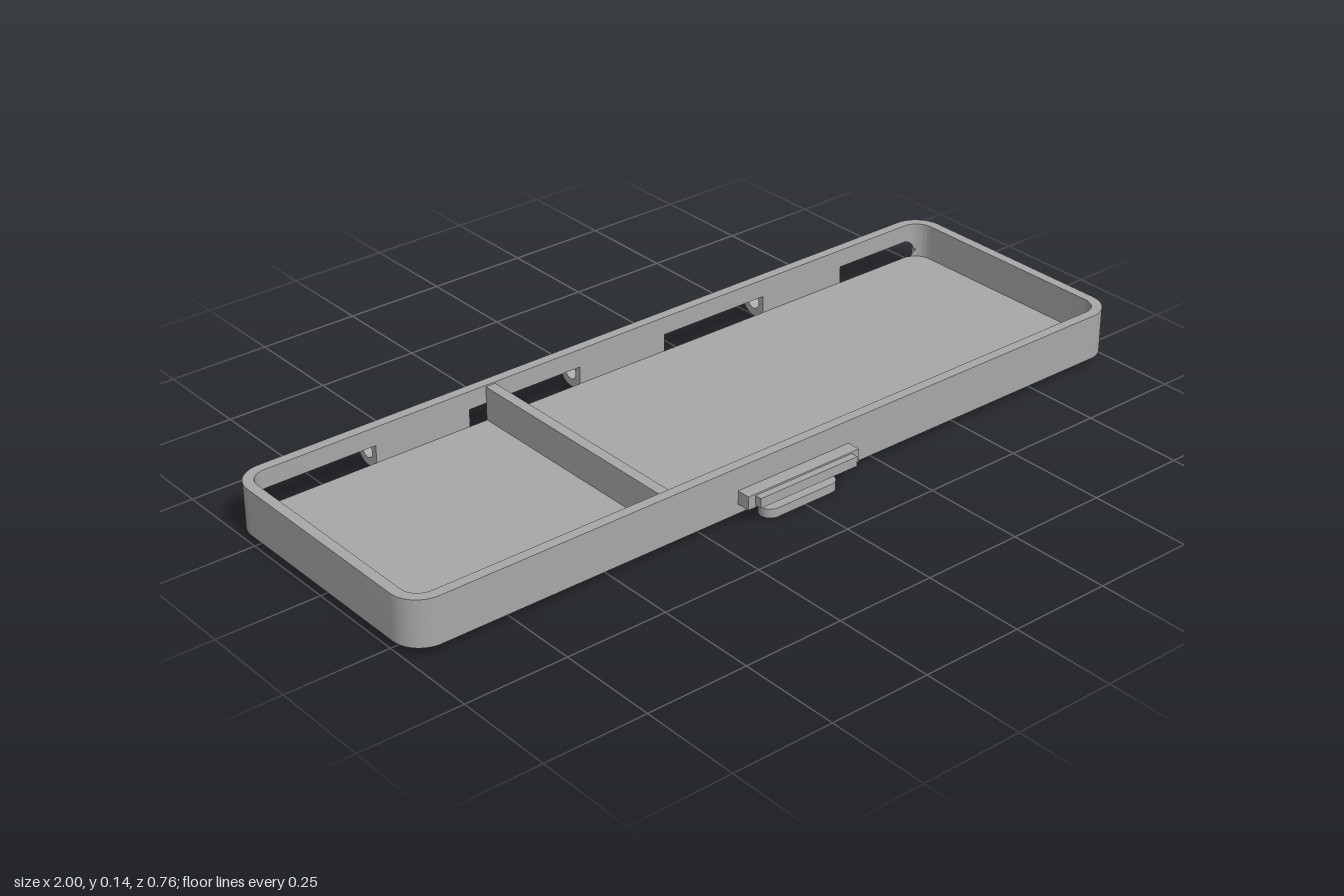
import * as THREE from 'three';
import { toCreasedNormals } from 'three/addons/utils/BufferGeometryUtils.js';

const BOTTOM = 0.022, TOP = 0.135, FLOOR = 0.047;
const CX = 0.93, CZ = 0.26, R_OUT = 0.07, R_IN = 0.045; // corner centres and radii
const PIN_Y = 0.065, PIN_Z = -0.34, GROOVE_R = 0.043;   // hinge axis and clearance
const CUT_X = 0.97;                                     // groove ends here
const KNUCKLES = [[-0.65, -0.4], [-0.09, 0.16], [0.465, 0.715]];

export function createModel() {
  const group = new THREE.Group();
  const plastic = new THREE.MeshStandardMaterial({ color: 0xa8a8a8 });
  plastic.name = 'grey plastic';

  const add = (name, geometry) => {
    const mesh = new THREE.Mesh(toCreasedNormals(geometry, 0.6), plastic);
    mesh.name = name;
    group.add(mesh);
    return mesh;
  };
  const box = (name, x0, x1, y0, y1, z0, z1) => {
    const g = new THREE.BoxGeometry(x1 - x0, y1 - y0, z1 - z0);
    add(name, g.translate((x0 + x1) / 2, (y0 + y1) / 2, (z0 + z1) / 2));
  };
  // Plan shape (x, -z) raised from y0 to y1
  const raise = (name, shape, y0, y1) => {
    const g = new THREE.ExtrudeGeometry(shape, { depth: y1 - y0, bevelEnabled: false, curveSegments: 12 });
    add(name, g.rotateX(-Math.PI / 2).translate(0, y0, 0));
  };
  // Round-ended bar lying along x
  const bar = (name, x0, x1, y0, y1, z, r) => {
    const s = new THREE.Shape();
    s.absarc(x1 - r, -z, r, -Math.PI / 2, Math.PI / 2, false);
    s.absarc(x0 + r, -z, r, Math.PI / 2, Math.PI * 1.5, false);
    s.closePath();
    raise(name, s, y0, y1);
  };

  // Front and side walls, ending in the rear corners
  const PI = Math.PI;
  const a = Math.acos((CUT_X - CX) / R_OUT), b = Math.acos((CUT_X - CX) / R_IN);
  const wall = new THREE.Shape();
  wall.absarc(CX, CZ, R_OUT, a, 0, true);
  wall.absarc(CX, -CZ, R_OUT, 0, -PI / 2, true);
  wall.absarc(-CX, -CZ, R_OUT, -PI / 2, -PI, true);
  wall.absarc(-CX, CZ, R_OUT, PI, PI - a, true);
  wall.absarc(-CX, CZ, R_IN, PI - b, PI, false);
  wall.absarc(-CX, -CZ, R_IN, PI, PI * 1.5, false);
  wall.absarc(CX, -CZ, R_IN, PI * 1.5, PI * 2, false);
  wall.absarc(CX, CZ, R_IN, 0, b, false);
  wall.closePath();
  raise('trayWalls', wall, BOTTOM, TOP);

  // Floor
  const floor = new THREE.Shape();
  floor.absarc(CX, CZ, R_IN, 0, PI / 2, false);
  floor.absarc(-CX, CZ, R_IN, PI / 2, PI, false);
  floor.absarc(-CX, -CZ, R_IN, PI, PI * 1.5, false);
  floor.absarc(CX, -CZ, R_IN, PI * 1.5, PI * 2, false);
  floor.closePath();
  raise('trayFloor', floor, BOTTOM, FLOOR);

  // Grooved rear wall: strips above and below the hinge clearance, lofted along x
  const wallZ = (x, r) => {
    const d = Math.max(0, Math.abs(x) - CX);
    return -CZ - Math.sqrt(Math.max(0, r * r - d * d));
  };
  const section = (x, side) => {
    const zo = wallZ(x, R_OUT), zi = wallZ(x, R_IN), edge = side > 0 ? TOP : BOTTOM;
    const points = [[x, edge, zo], [x, edge, zi]];
    for (let i = 0; i <= 10; i++) {
      const z = zi + (zo - zi) * i / 10;
      const h = Math.sqrt(Math.max(0, GROOVE_R ** 2 - (z - PIN_Z) ** 2));
      points.push([x, PIN_Y + side * h, z]);
    }
    return points;
  };
  const strip = (name, x0, x1, side) => {
    const xs = [x0];
    for (let i = 0; i <= 8; i++) {
      const d = CX + (CUT_X - CX) * i / 8;
      xs.push(d, -d);
    }
    const stations = [...new Set([...xs.filter(x => x >= x0 && x <= x1), x1])].sort((p, q) => p - q);
    const pos = [];
    for (let s = 0; s < stations.length - 1; s++) {
      const p = section(stations[s], side), q = section(stations[s + 1], side);
      p.forEach((v, i) => {
        const j = (i + 1) % p.length;
        const quad = side > 0 ? [v, p[j], q[j], q[i]] : [v, q[i], q[j], p[j]];
        for (const k of [0, 1, 2, 0, 2, 3]) pos.push(...quad[k]);
      });
    }
    const g = new THREE.BufferGeometry();
    g.setAttribute('position', new THREE.Float32BufferAttribute(pos, 3));
    add(name, g);
  };
  const edges = [-CUT_X, ...KNUCKLES.flat(), CUT_X];
  for (let i = 0; i < edges.length; i += 2) {
    strip('rearWallUpper', edges[i], edges[i + 1], 1);
    strip('rearWallLower', edges[i], edges[i + 1], -1);
  }

  // Hinge knuckles, each in one piece with its stretch of rear wall
  const zOut = CZ + R_OUT, zIn = CZ + R_IN, ringR = 0.038;
  const sweep = Math.acos((zOut + PIN_Z) / ringR);
  const knuckle = new THREE.Shape();
  knuckle.moveTo(zIn, BOTTOM);
  knuckle.lineTo(zOut, BOTTOM);
  knuckle.absarc(-PIN_Z, PIN_Y, ringR, -sweep, sweep, false);
  knuckle.lineTo(zOut, TOP);
  knuckle.lineTo(zIn, TOP);
  knuckle.closePath();
  const pinHole = new THREE.Path();
  pinHole.absarc(-PIN_Z, PIN_Y, 0.019, 0, PI * 2, true);
  knuckle.holes.push(pinHole);
  for (const [x0, x1] of KNUCKLES) {
    const g = new THREE.ExtrudeGeometry(knuckle, { depth: x1 - x0, bevelEnabled: false, curveSegments: 28 });
    add('hingeKnuckle', g.rotateY(PI / 2).translate(x0, 0, 0));
  }

  // Divider between the compartments
  box('divider', -0.353, -0.327, FLOOR - 0.005, 0.131, -0.306, 0.306);

  // Front latch catch and the finger tab below it
  box('latchBase', -0.16, 0.157, 0.045, 0.078, 0.325, 0.363);
  box('latchLip', -0.14, 0.137, 0.05, 0.074, 0.36, 0.38);
  bar('fingerTab', -0.105, 0.102, 0, BOTTOM, 0.341, 0.026);

  // Runner feet
  for (const z of [-0.21, 0.21]) bar('runnerFoot', -0.875, 0.87, 0.004, BOTTOM, z, 0.024);

  return group;
}
